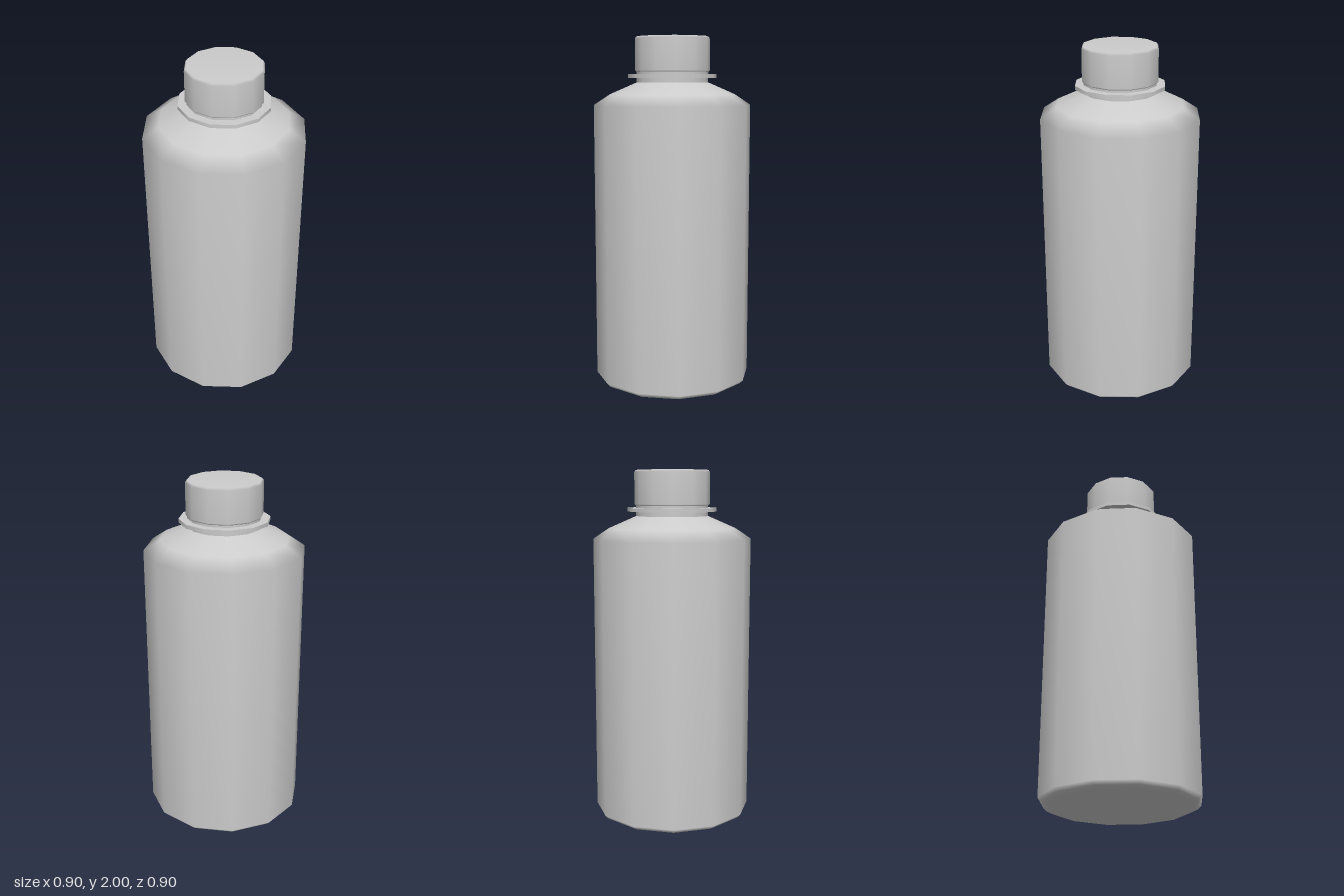
import * as THREE from 'three';

const SIDES = 12;

export function createModel() {
  const group = new THREE.Group();
  const material = new THREE.MeshStandardMaterial({ color: 0xcccccc });

  // Turns a bottom-to-top [radius, height] profile; a repeated point makes a sharp edge
  const turn = (name, profile) => {
    const points = profile.map(([r, y]) => new THREE.Vector2(r, y));
    const mesh = new THREE.Mesh(new THREE.LatheGeometry(points, SIDES), material);
    mesh.name = name;
    group.add(mesh);
  };

  // Body with chamfered base and sloping shoulder
  turn('body', [
    [0, 0], [0.4, 0], [0.43, 0.015], [0.45, 0.035],
    [0.45, 1.615], [0.36, 1.675], [0.2, 1.745],
  ]);

  // Neck
  turn('neck', [[0.205, 1.735], [0.205, 1.81]]);

  // Thin collar around the neck
  turn('collar', [
    [0.19, 1.768], [0.253, 1.768], [0.253, 1.768],
    [0.253, 1.789], [0.253, 1.789], [0.19, 1.789],
  ]);

  // Screw cap with softened rims
  turn('cap', [
    [0, 1.802], [0.207, 1.802], [0.214, 1.81],
    [0.214, 1.988], [0.205, 2], [0, 2],
  ]);

  return group;
}
